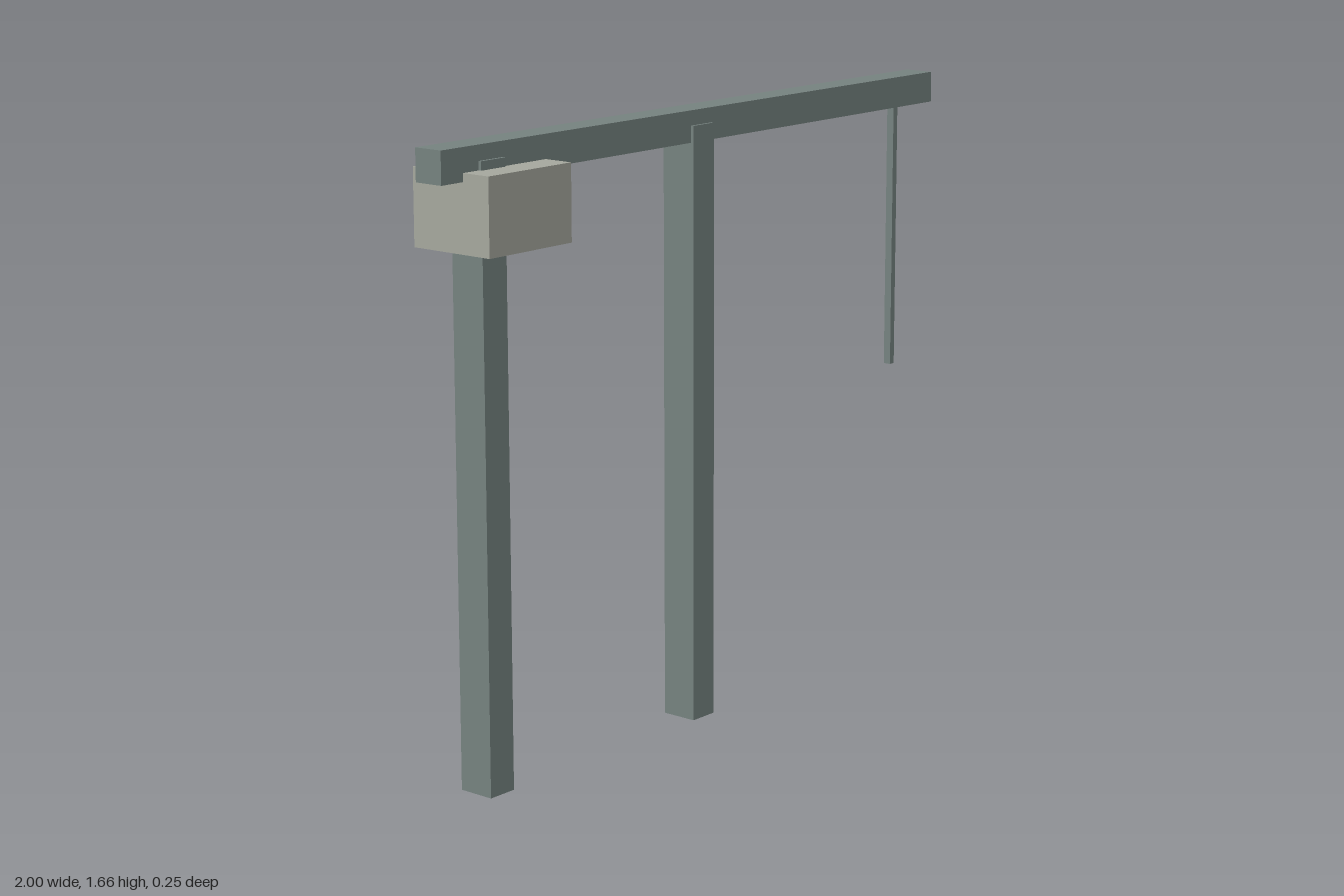
import * as THREE from 'three';

export function createModel() {
  const group = new THREE.Group();
  const steel = new THREE.MeshStandardMaterial({ color: 0x75827f, flatShading: true });
  const stone = new THREE.MeshStandardMaterial({ color: 0xa5a79d, flatShading: true });

  // Box given by its extents in x and y and its depth about z = 0
  function addBox(name, x0, x1, y0, y1, depth, material) {
    const mesh = new THREE.Mesh(new THREE.BoxGeometry(x1 - x0, y1 - y0, depth), material);
    mesh.name = name;
    mesh.position.set((x0 + x1) / 2, (y0 + y1) / 2, 0);
    group.add(mesh);
  }

  // Two upright posts, their tops let into the beam
  addBox('outerPost', -0.87, -0.785, 0, 1.625, 0.102, steel);
  addBox('middlePost', -0.07, 0.015, 0, 1.625, 0.102, steel);

  // Long horizontal beam
  addBox('beam', -1, 1, 1.58, 1.665, 0.085, steel);

  // Counterweight block around the outer post
  addBox('counterweight', -0.925, -0.63, 1.402, 1.602, 0.253, stone);

  // Thin rod hanging from the free end
  addBox('hangingRod', 0.864, 0.882, 0.83, 1.6, 0.022, steel);

  return group;
}
